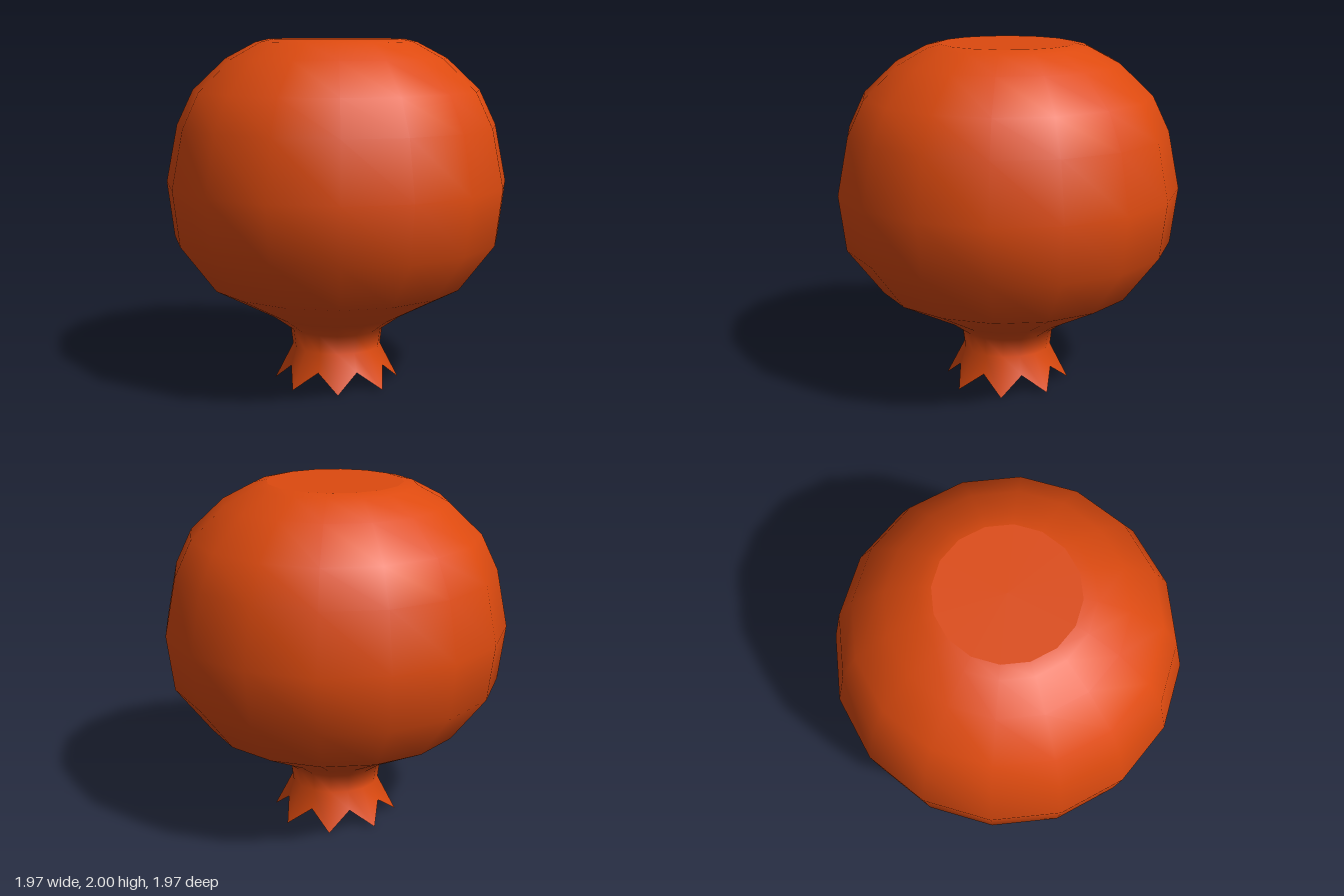
import * as THREE from 'three';
import { mergeVertices } from 'three/addons/utils/BufferGeometryUtils.js';

const SIDES = 16;
const TIP = { r: 0.365, y: 0 };
const VALLEY = { r: 0.29, y: 0.105 };

// Smooth 16-sided revolution; points on the rim (marked by y = 0) become alternating tips and valleys
function revolve(profile) {
  const lathe = new THREE.LatheGeometry(profile.map(([r, y]) => new THREE.Vector2(r, y)), SIDES);
  const pos = lathe.attributes.position;
  for (let i = 0; i < pos.count; i++) {
    if (pos.getY(i) > 0.001) continue;
    const step = Math.round(Math.atan2(pos.getX(i), pos.getZ(i)) / (Math.PI * 2 / SIDES));
    const { r, y } = step % 2 === 0 ? TIP : VALLEY;
    const a = step * Math.PI * 2 / SIDES;
    pos.setXYZ(i, Math.sin(a) * r, y, Math.cos(a) * r);
  }
  lathe.deleteAttribute('uv');
  lathe.deleteAttribute('normal');
  const geometry = mergeVertices(lathe, 1e-4);
  geometry.computeVertexNormals();
  return geometry;
}

export function createModel() {
  const group = new THREE.Group();
  const rind = new THREE.MeshStandardMaterial({ color: 0xdd4a0f });
  rind.name = 'orange red rind';

  const add = (name, geometry) => {
    const mesh = new THREE.Mesh(geometry, rind);
    mesh.name = name;
    group.add(mesh);
  };

  // Round fruit, running down through the neck into the pointed crown
  add('fruitAndCrown', revolve([
    [0.3, 0], [0.258, 0.21], [0.272, 0.32], [0.39, 0.405], [0.74, 0.59], [0.945, 0.86],
    [0.985, 1.18], [0.92, 1.51], [0.825, 1.71], [0.635, 1.89], [0.46, 1.983], [0.385, 2],
  ]));

  // Flat cap on top
  const cap = new THREE.CircleGeometry(0.385, SIDES);
  cap.rotateX(-Math.PI / 2);
  cap.translate(0, 2, 0);
  add('topCap', cap);

  // Hollow inside of the crown, facing down
  add('crownInside', revolve([[0, 0.26], [0.225, 0.22], [0.3, 0]]));

  return group;
}
